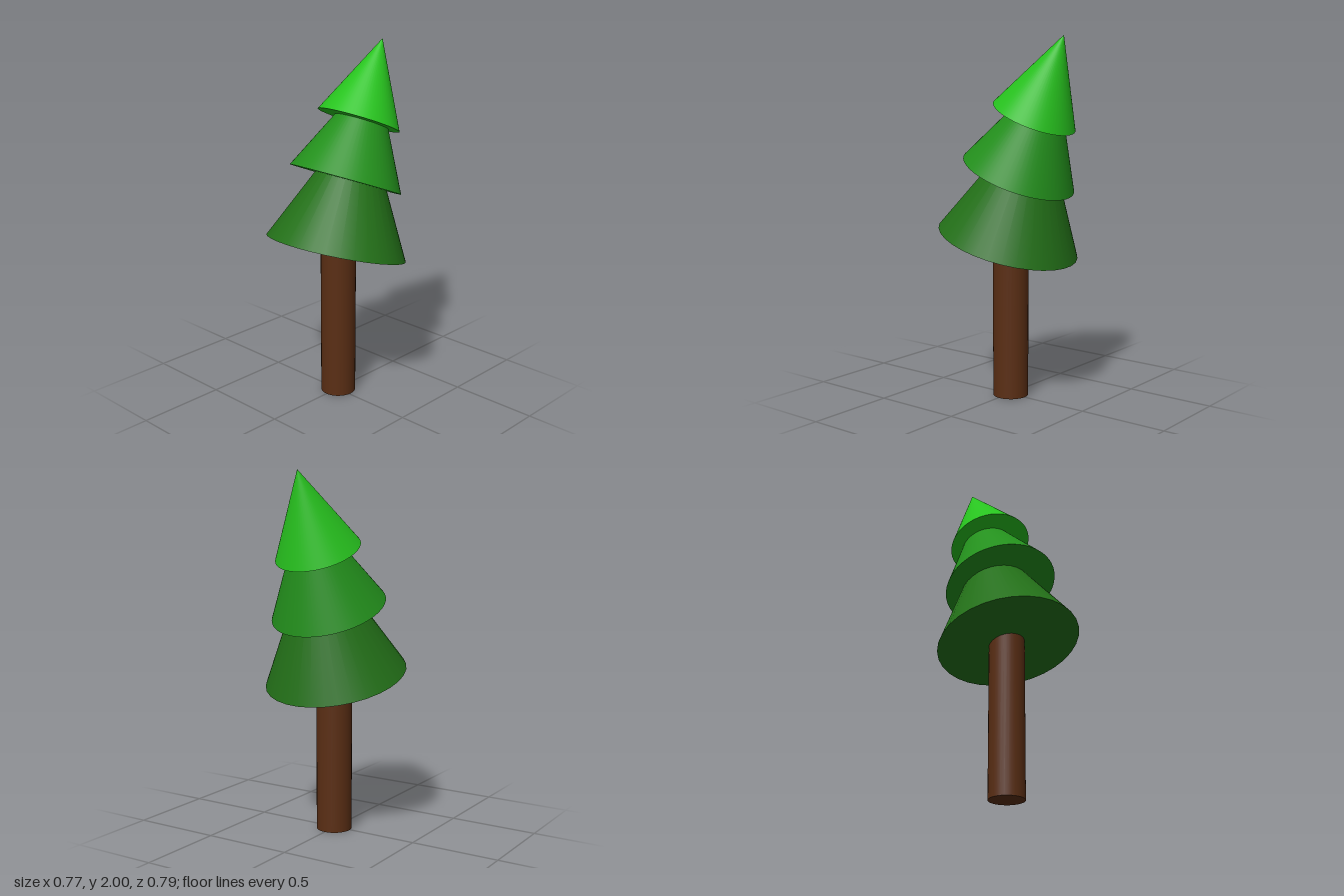
import * as THREE from 'three';

// Each tier: base centre, radius, tilt towards +x, colour; height is twice the radius
const TIERS = [
  { name: 'lowerFoliage', x: -0.007, y: 0.878, r: 0.396, tilt: 16.6, color: 0x237018, sides: 32 },
  { name: 'middleFoliage', x: 0.067, y: 1.257, r: 0.318, tilt: 22.6, color: 0x23901c, sides: 64 },
  { name: 'topFoliage', x: 0.171, y: 1.572, r: 0.234, tilt: 23.9, color: 0x27c31e, sides: 64 },
];

export function createModel() {
  const tree = new THREE.Group();
  tree.name = 'leaningTree';

  const add = (name, geometry, color) => {
    const mesh = new THREE.Mesh(geometry, new THREE.MeshStandardMaterial({ color }));
    mesh.name = name;
    tree.add(mesh);
    return mesh;
  };

  // Upright trunk, its top hidden inside the lowest tier
  const trunkHeight = 1;
  add('trunk', new THREE.CylinderGeometry(0.099, 0.099, trunkHeight, 32), 0x5a2e14)
    .position.set(0.01, trunkHeight / 2, 0);

  // Stacked cones, each pivoting about its base centre
  for (const { name, x, y, r, tilt, color, sides } of TIERS) {
    const cone = new THREE.ConeGeometry(r, 2 * r, sides).translate(0, r, 0);
    const tier = add(name, cone, color);
    tier.position.set(x, y, 0);
    tier.rotation.z = -THREE.MathUtils.degToRad(tilt);
  }

  return tree;
}
